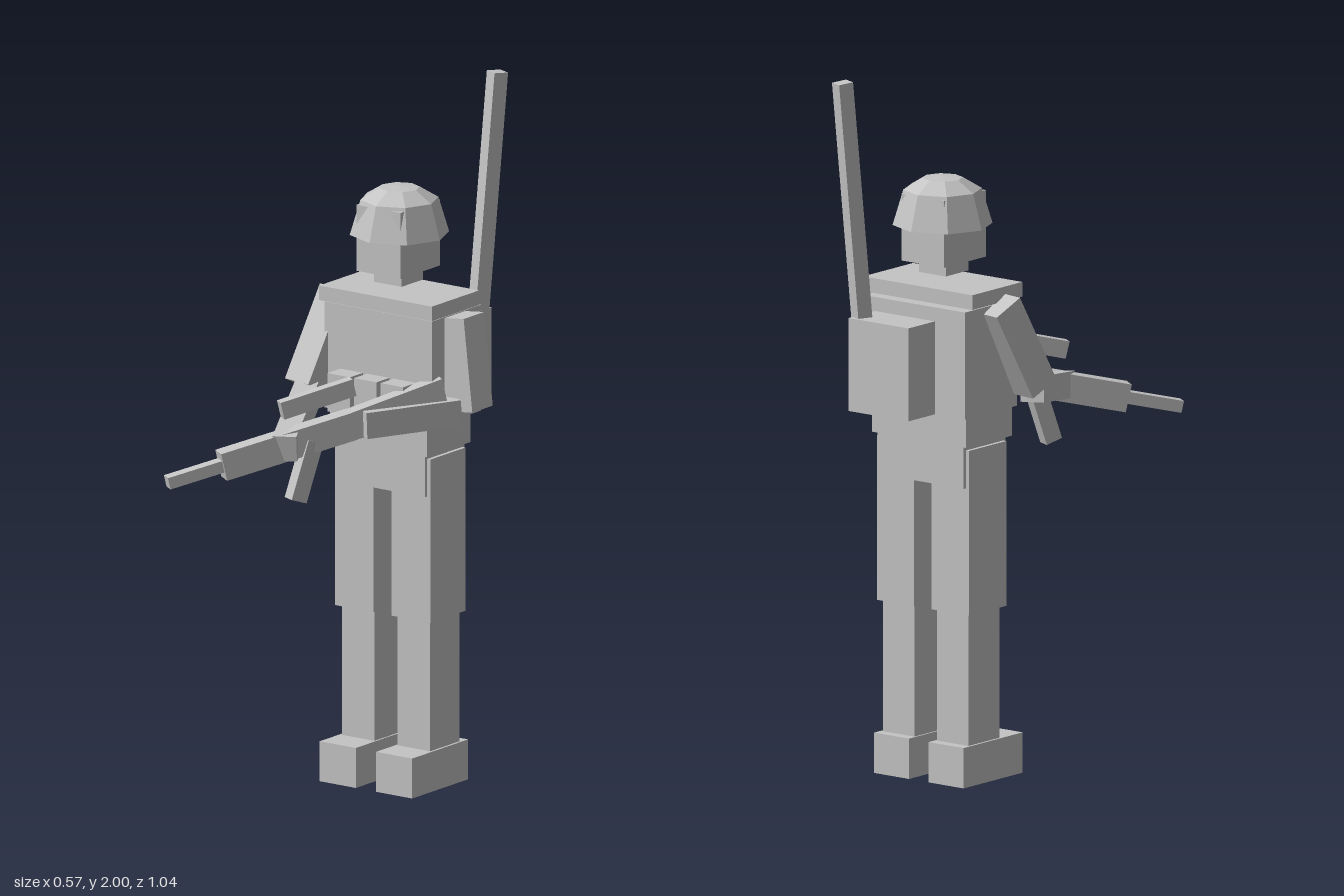
import * as THREE from 'three';

export function createModel() {
  const root = new THREE.Group();
  root.name = 'infantryFigure';
  const grey = new THREE.MeshStandardMaterial({ color: 0xc4c4c4 });
  grey.name = 'plain grey';

  function add(name, geometry) {
    const mesh = new THREE.Mesh(geometry, grey);
    mesh.name = name;
    root.add(mesh);
    return mesh;
  }

  // Upright block given by its extents on each axis
  function block(name, [x0, x1], [y0, y1], [z0, z1]) {
    const mesh = add(name, new THREE.BoxGeometry(x1 - x0, y1 - y0, z1 - z0));
    mesh.position.set((x0 + x1) / 2, (y0 + y1) / 2, (z0 + z1) / 2);
  }

  // Slanted bar between two points; endScale changes its height at the far end
  function bar(name, from, to, width, height, endScale = 1) {
    const a = new THREE.Vector3(...from), b = new THREE.Vector3(...to);
    const geometry = new THREE.BoxGeometry(width, height, a.distanceTo(b));
    const p = geometry.attributes.position;
    for (let i = 0; i < p.count; i++) {
      if (p.getZ(i) > 0) p.setY(i, p.getY(i) * endScale);
    }
    geometry.computeVertexNormals();
    const mesh = add(name, geometry);
    mesh.position.copy(a).add(b).multiplyScalar(0.5);
    mesh.lookAt(b);
  }

  // Legs
  for (const [side, s] of [['left', 1], ['right', -1]]) {
    const span = (a, b) => (s > 0 ? [a, b] : [-b, -a]);
    block(side + 'Boot', span(0.035, 0.16), [0, 0.115], [-0.325, -0.063]);
    block(side + 'Shin', span(0.04, 0.153), [0.115, 0.49], [-0.295, -0.157]);
    block(side + 'Thigh', span(0.031, 0.165), [0.49, 0.96], [-0.307, -0.141]);
  }

  // Body
  block('pelvis', [-0.154, 0.154], [0.852, 0.972], [-0.317, -0.132]);
  block('waist', [-0.168, 0.168], [0.972, 1.065], [-0.325, -0.121]);
  block('torso', [-0.186, 0.186], [1.06, 1.365], [-0.351, -0.121]);
  block('shoulderYoke', [-0.195, 0.195], [1.37, 1.412], [-0.33, -0.108]);
  for (const x of [-0.092, 0, 0.092]) {
    block('pouch', [x - 0.039, x + 0.039], [1.07, 1.18], [-0.125, -0.06]);
  }

  // Radio pack and aerial
  block('radioPack', [-0.078, 0.136], [1.06, 1.325], [-0.468, -0.34]);
  bar('aerial', [0.117, 1.3, -0.43], [0.14, 2.0, -0.49], 0.04, 0.045);

  // Head and eight-sided helmet
  block('neck', [-0.048, 0.048], [1.434, 1.47], [-0.265, -0.165]);
  block('head', [-0.076, 0.076], [1.47, 1.66], [-0.308, -0.122]);
  const profile = [[0, 1.57], [0.14, 1.57], [0.11, 1.67], [0.057, 1.702], [0, 1.706]];
  const helmet = new THREE.LatheGeometry(profile.map(([r, y]) => new THREE.Vector2(r, y)), 8);
  const faceted = helmet.toNonIndexed();
  faceted.computeVertexNormals();
  add('helmet', faceted).position.z = -0.22;

  // Arms
  bar('rightUpperArm', [-0.202, 1.368, -0.228], [-0.227, 1.118, -0.098], 0.096, 0.096);
  bar('rightForearm', [-0.225, 1.11, -0.1], [-0.05, 1.04, 0.25], 0.067, 0.075);
  bar('leftUpperArm', [0.207, 1.365, -0.228], [0.237, 1.1, -0.228], 0.096, 0.09);
  bar('leftForearm', [0.222, 1.1, -0.19], [0.072, 1.09, 0.05], 0.065, 0.075);

  // Rifle, laid along one sloping line indexed by z
  const onRifle = (z) => [-0.265 + 0.7 * (0.5 - z), 0.965 + 0.275 * (0.5 - z), z];
  bar('barrel', onRifle(0.505), onRifle(0.36), 0.036, 0.034);
  bar('handguard', onRifle(0.375), onRifle(0.06), 0.052, 0.08);
  bar('stock', onRifle(0.07), onRifle(-0.16), 0.046, 0.078, 1.4);
  bar('sight', [-0.075, 1.145, 0.235], [0.045, 1.195, 0.06], 0.032, 0.05);
  bar('magazine', [-0.02, 1.05, 0.16], [-0.042, 0.885, 0.21], 0.04, 0.05);

  return root;
}
